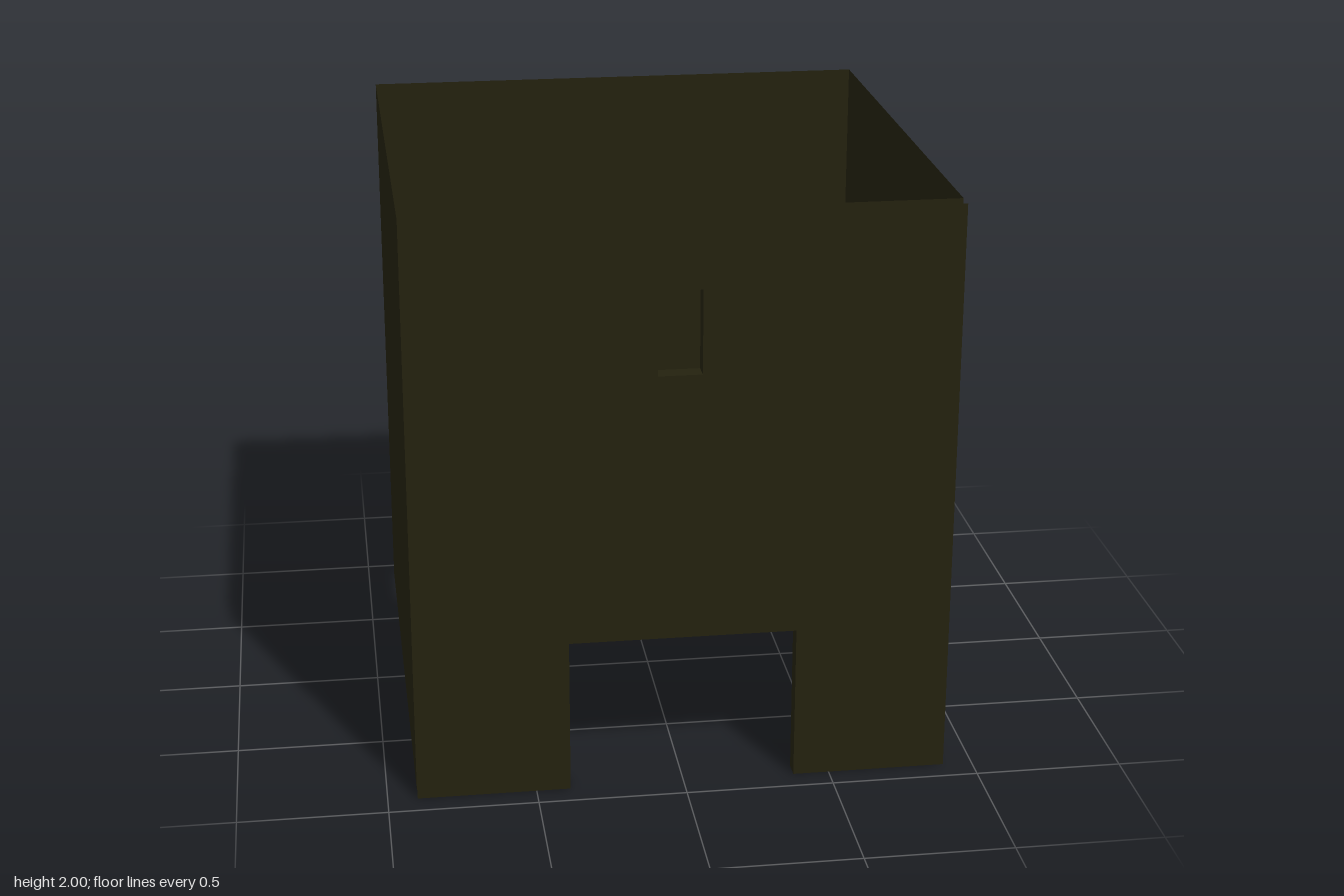
import * as THREE from 'three';

const W = 0.9, H = 2, BACK = -0.92, INNER = 0.86, OUTER = 0.92;
const door = { l: -0.385, r: 0.378, b: 0, t: 0.54 };
const win = { l: -0.09, r: 0.055, b: 1.465, t: 1.75 };

export function createModel() {
  const group = new THREE.Group();
  const wall = new THREE.MeshStandardMaterial({ color: 0x24220f, side: THREE.DoubleSide });
  wall.name = 'dark olive wall';

  const add = (name, geometry, x, y, z) => {
    const mesh = new THREE.Mesh(geometry, wall);
    mesh.name = name;
    mesh.position.set(x, y, z);
    group.add(mesh);
  };

  // Thin back and side walls, open at top and bottom
  const depth = INNER - BACK, midZ = (INNER + BACK) / 2;
  add('backWall', new THREE.PlaneGeometry(2 * W, H).rotateY(Math.PI), 0, H / 2, BACK);
  for (const s of [1, -1]) {
    add(s > 0 ? 'leftWall' : 'rightWall',
      new THREE.PlaneGeometry(depth, H).rotateY(s * Math.PI / 2), s * W, H / 2, midZ);
  }

  // Front wall outline with a doorway notch and a window hole
  const points = (list) => list.map(([x, y]) => new THREE.Vector2(x, y));
  const face = new THREE.Shape(points([
    [-W, 0], [door.l, 0], [door.l, door.t], [door.r, door.t],
    [door.r, 0], [W, 0], [W, H], [-W, H],
  ]));
  face.holes.push(new THREE.Path(points([
    [win.l, win.b], [win.l, win.t], [win.r, win.t], [win.r, win.b],
  ])));
  add('frontWallOuterFace', new THREE.ShapeGeometry(face), 0, 0, OUTER);
  add('frontWallInnerFace', new THREE.ShapeGeometry(face).rotateY(Math.PI).scale(-1, 1, 1), 0, 0, INNER);

  // Reveals joining the two front faces around each opening
  const t = OUTER - INNER, z = (OUTER + INNER) / 2;
  const addReveals = (name, o) => {
    const w = o.r - o.l, h = o.t - o.b, cx = (o.l + o.r) / 2, cy = (o.b + o.t) / 2;
    add(name + 'RightJamb', new THREE.PlaneGeometry(t, h).rotateY(Math.PI / 2), o.l, cy, z);
    add(name + 'LeftJamb', new THREE.PlaneGeometry(t, h).rotateY(-Math.PI / 2), o.r, cy, z);
    add(name + 'Lintel', new THREE.PlaneGeometry(w, t).rotateX(Math.PI / 2), cx, o.t, z);
    if (o.b > 0) add(name + 'Sill', new THREE.PlaneGeometry(w, t).rotateX(-Math.PI / 2), cx, o.b, z);
  };
  addReveals('door', door);
  addReveals('window', win);

  return group;
}
